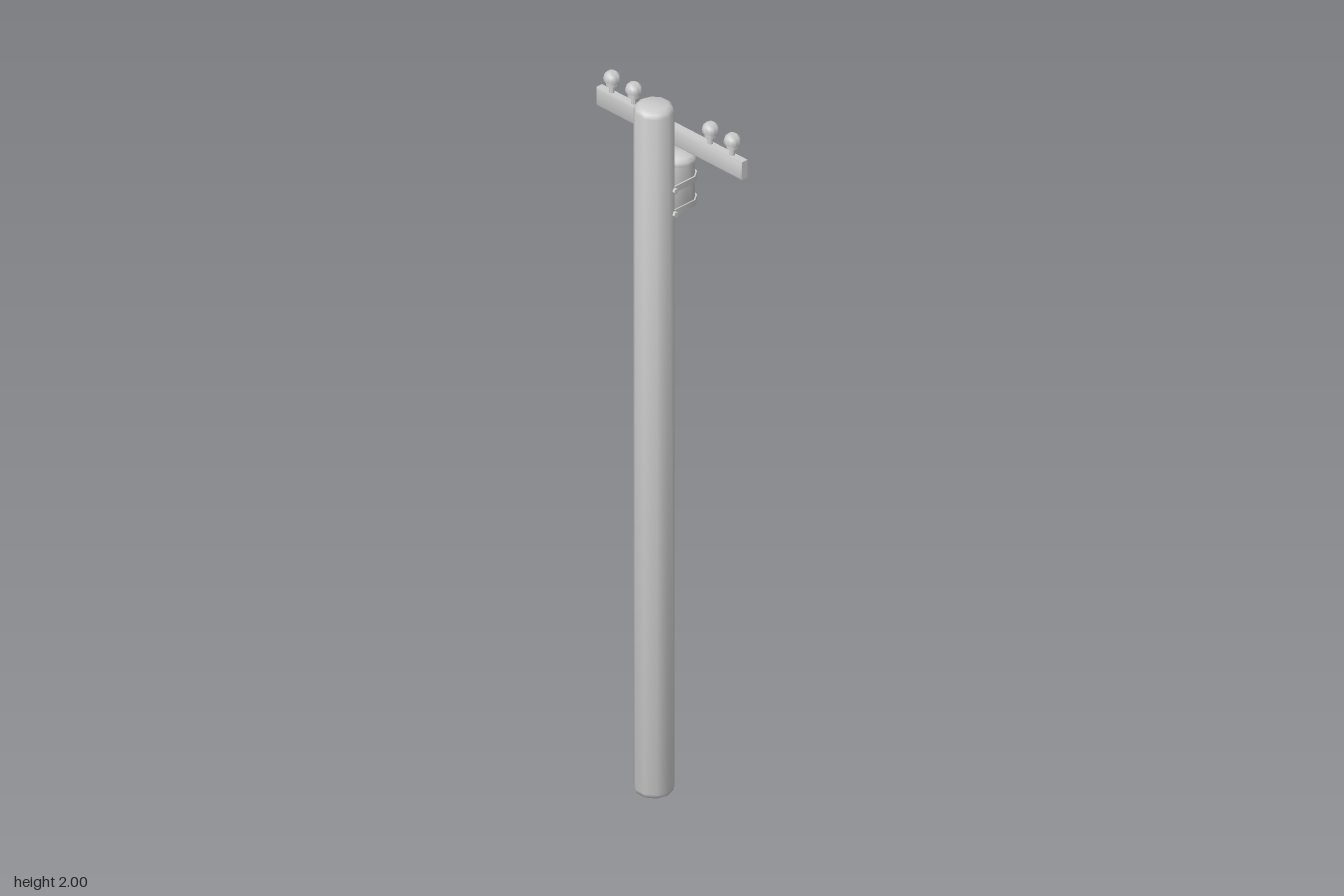
import * as THREE from 'three';
import { toCreasedNormals } from 'three/addons/utils/BufferGeometryUtils.js';

const grey = new THREE.MeshStandardMaterial({ color: 0xcccccc });

function add(parent, name, geometry, x = 0, y = 0, z = 0) {
  const mesh = new THREE.Mesh(toCreasedNormals(geometry, 0.95), grey);
  mesh.name = name;
  mesh.position.set(x, y, z);
  parent.add(mesh);
  return mesh;
}

// Turned part from [radius, height] pairs, bottom to top
function turned(profile, sides = 10, start = 0) {
  return new THREE.LatheGeometry(profile.map(([r, y]) => new THREE.Vector2(r, y)), sides, start);
}

// U-shaped strap: half a decagon round the tank, straight legs to the pole
function strapGeometry(height) {
  const shape = new THREE.Shape();
  const arc = (r, i) => [r * Math.sin(i * Math.PI / 5), r * Math.cos(i * Math.PI / 5)];
  const outer = [-2, -1, 0, 1, 2].map(i => arc(0.0445, i));
  const inner = [2, 1, 0, -1, -2].map(i => arc(0.0405, i));
  const xo = outer[4][0], xi = inner[0][0], end = -0.07;
  shape.moveTo(-xo, end);
  outer.forEach(p => shape.lineTo(...p));
  shape.lineTo(xo, end);
  shape.lineTo(xi, end);
  inner.forEach(p => shape.lineTo(...p));
  shape.lineTo(-xi, end);
  shape.closePath();
  const geo = new THREE.ExtrudeGeometry(shape, { depth: height, bevelEnabled: false });
  return geo.translate(0, 0, -height / 2).rotateX(-Math.PI / 2);
}

export function createModel() {
  const model = new THREE.Group();
  model.name = 'utilityPole';

  // Pole, with chamfered ends
  add(model, 'pole', turned([
    [0, 0], [0.038, 0], [0.048, 0.006], [0.052, 0.018],
    [0.052, 1.982], [0.048, 1.994], [0.038, 2], [0, 2],
  ], 10, Math.PI / 10), 0, 0, 0.04);

  // Crossarm, a bar with chamfered edges
  const hx = 0.254, hy = 0.02;
  const bar = new THREE.Shape([
    [-hx, -hy], [hx, -hy], [hx, hy], [-hx, hy],
  ].map(([x, y]) => new THREE.Vector2(x, y)));
  const arm = new THREE.ExtrudeGeometry(bar, {
    depth: 0.019, bevelThickness: 0.004, bevelSize: 0.006, bevelSegments: 1,
  }).translate(0, 0, -0.0095);
  add(model, 'crossarm', arm, 0, 1.892, -0.0235);

  // Insulators on pins
  for (const x of [-0.215, -0.137, 0.137, 0.215]) {
    add(model, 'insulator', turned([
      [0.007, 0], [0.007, 0.023], [0.015, 0.023], [0.015, 0.035], [0.021, 0.037],
      [0.022, 0.045], [0.019, 0.055], [0.011, 0.062], [0, 0.064],
    ]), x, 1.915, -0.0235);
  }

  // Transformer tank with lid
  const transformer = new THREE.Group();
  transformer.name = 'transformer';
  transformer.position.z = -0.05;
  model.add(transformer);
  add(transformer, 'tank', turned([
    [0, 1.67], [0.032, 1.67], [0.039, 1.677], [0.039, 1.805], [0, 1.805],
  ]));
  add(transformer, 'lid', turned([
    [0, 1.801], [0.043, 1.801], [0.044, 1.805], [0.044, 1.815],
    [0.036, 1.823], [0, 1.826],
  ]));

  // Straps and bolts that hold the tank to the pole
  for (const y of [1.687, 1.755]) {
    const strap = add(transformer, 'strap', strapGeometry(0.018), 0, y, 0);
    strap.name = 'strap';
    for (const side of [-1, 1]) {
      const bolt = new THREE.CylinderGeometry(0.008, 0.008, 0.011, 6).rotateZ(Math.PI / 2);
      add(transformer, 'bolt', bolt, side * 0.0465, y, 0.062);
    }
  }
  return model;
}
